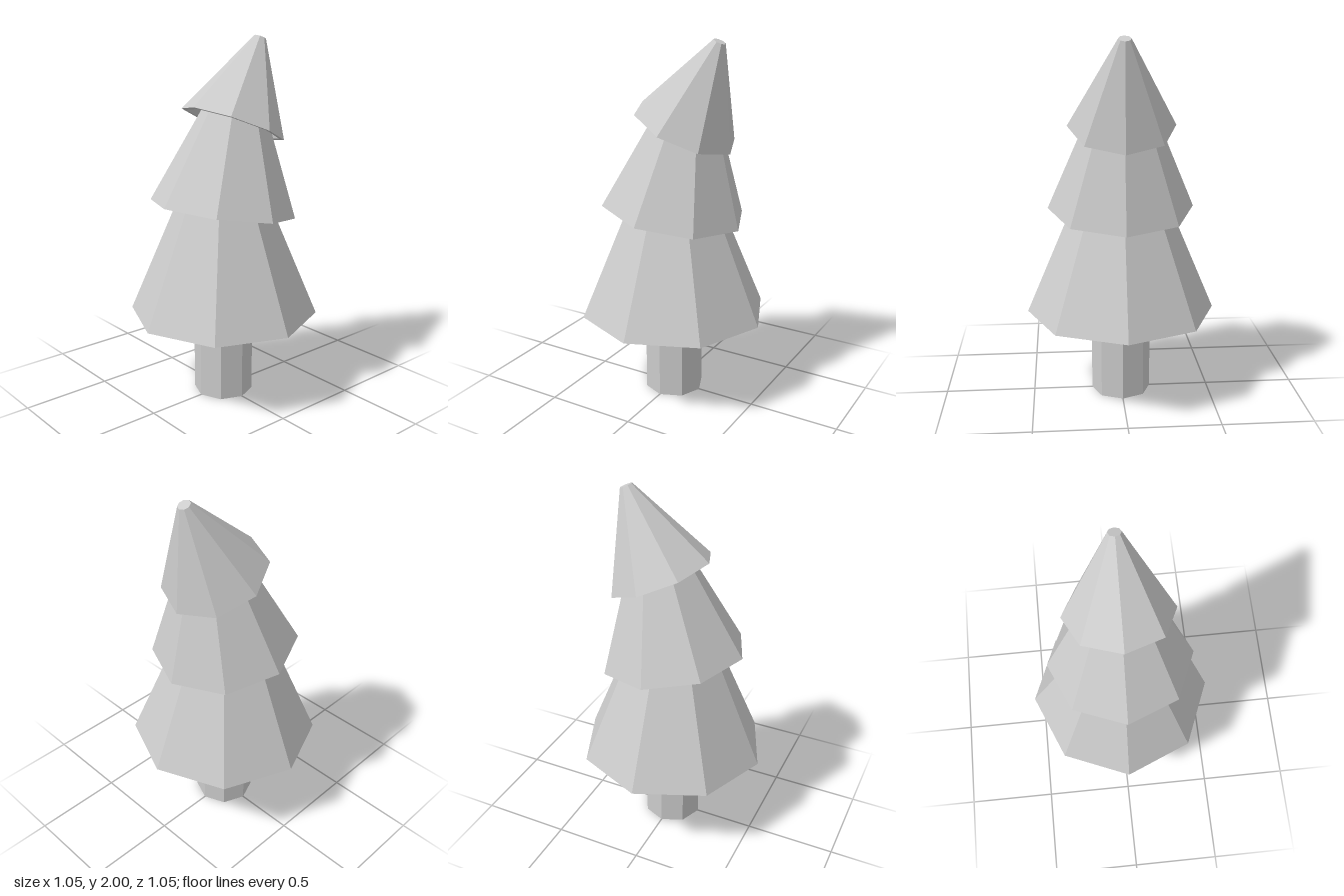
import * as THREE from 'three';

const SIDES = 8;
const material = new THREE.MeshStandardMaterial({ color: 0xcccccc, flatShading: true, side: THREE.DoubleSide });

// Hollow eight-sided skirt of foliage: inner wall, rim, outer wall, flat top
function foliageTier(name, { x, y, tilt, radius, topRadius, height }) {
  const inner = radius * 0.905;
  const innerTop = topRadius * 0.9;
  const profile = [
    [0, height * 0.93],
    [innerTop, height * 0.93],
    [inner, 0],
    [radius, 0],
    [topRadius, height],
    [0, height],
  ].map(([r, h]) => new THREE.Vector2(r, h));
  const tier = new THREE.Mesh(new THREE.LatheGeometry(profile, SIDES), material);
  tier.name = name;
  tier.position.set(x, y, 0);
  tier.rotation.z = -THREE.MathUtils.degToRad(tilt);
  return tier;
}

export function createModel() {
  const tree = new THREE.Group();
  tree.name = 'bentTree';

  // Open-ended trunk reaching up into the lowest tier
  const trunkHeight = 1.1;
  const trunk = new THREE.Mesh(
    new THREE.CylinderGeometry(0.166, 0.166, trunkHeight, SIDES, 1, true), material);
  trunk.name = 'trunk';
  trunk.position.y = trunkHeight / 2;
  tree.add(trunk);

  // Tiers lean further to one side towards the tip
  tree.add(
    foliageTier('lowerFoliage', { x: 0, y: 0.48, tilt: 0, radius: 0.525, topRadius: 0.193, height: 0.78 }),
    foliageTier('middleFoliage', { x: -0.005, y: 1.075, tilt: 9.3, radius: 0.402, topRadius: 0.156, height: 0.58 }),
    foliageTier('topFoliage', { x: 0.067, y: 1.535, tilt: 23.2, radius: 0.291, topRadius: 0.034, height: 0.494 }),
  );
  return tree;
}
